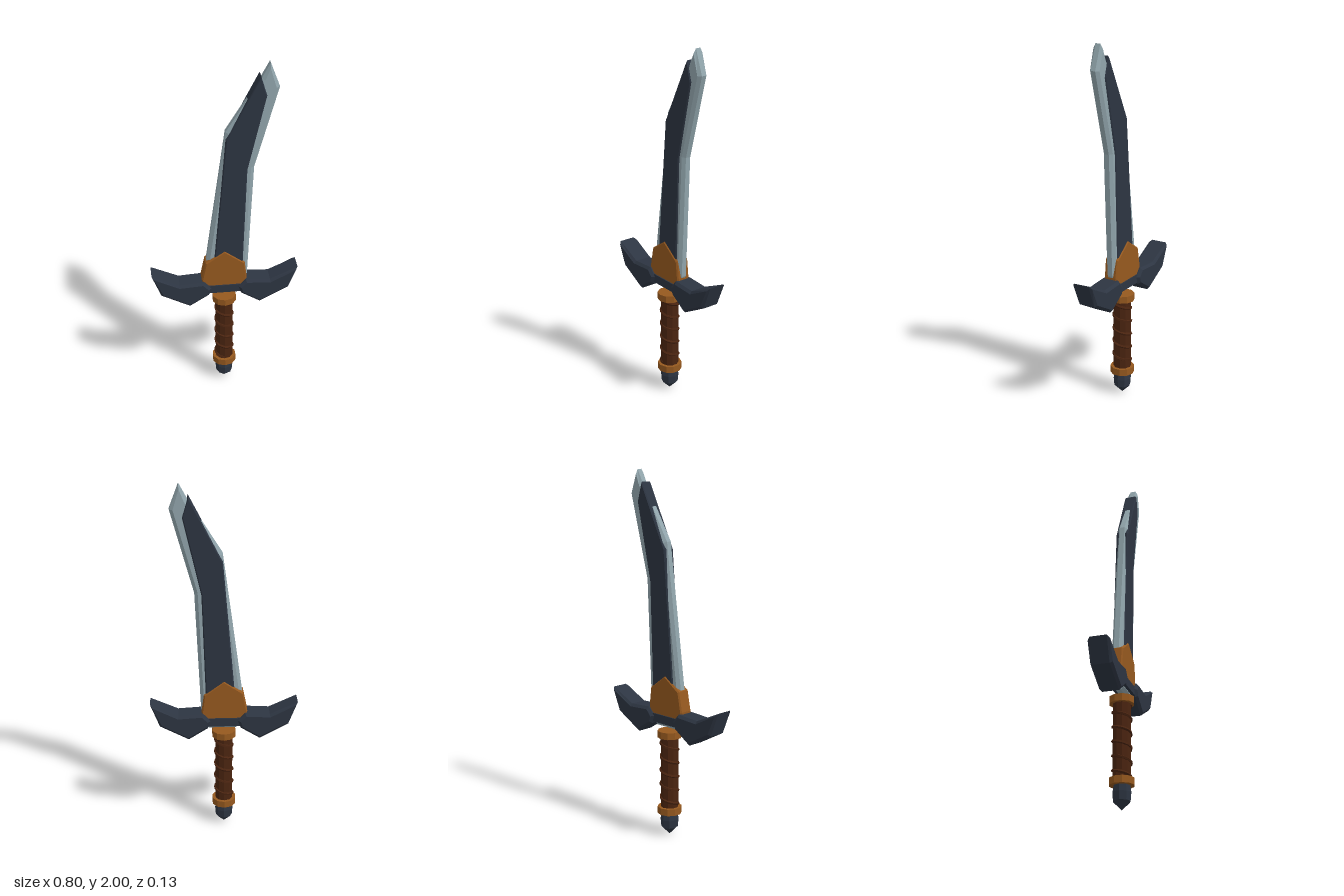
import * as THREE from 'three';

const material = (name, color) => {
  const m = new THREE.MeshStandardMaterial({ color, flatShading: true });
  m.name = name;
  return m;
};

export function createModel() {
  const steel = material('steel', 0x92a6ad);
  const dark = material('dark iron', 0x2d3542);
  const bronze = material('bronze', 0x96591f);
  const leather = material('leather', 0x4a2410);
  const model = new THREE.Group();
  model.name = 'sword';

  const add = (name, geometry, mat) => {
    const mesh = new THREE.Mesh(geometry, mat);
    mesh.name = name;
    model.add(mesh);
    return mesh;
  };

  // Outline extruded evenly to both sides of z = 0, with a chamfer inside the outline
  const slab = (points, half, inset, drop) => {
    const shape = new THREE.Shape(points.map(([x, y]) => new THREE.Vector2(x, y)));
    const g = new THREE.ExtrudeGeometry(shape, {
      depth: 2 * (half - drop), bevelEnabled: true, bevelSegments: 1,
      bevelSize: inset, bevelThickness: drop, bevelOffset: -inset,
    });
    return g.translate(0, 0, -(half - drop));
  };

  // Blade: bright cutting edge with a thicker dark core
  add('bladeEdge', slab([
    [-0.07, 0.62], [0.085, 0.62], [0.125, 0.74], [0.155, 1.42], [0.277, 1.87],
    [0.228, 2.0], [0.185, 1.92], [0.005, 1.63], [-0.1, 0.84], [-0.1, 0.72],
  ], 0.028, 0.018, 0.014), steel);
  add('bladeCore', slab([
    [-0.07, 0.7], [0.095, 0.7], [0.118, 1.41], [0.212, 1.83], [0.18, 1.935], [0.005, 1.59],
  ], 0.034, 0.006, 0.006), dark);

  // Bronze collar at the blade root
  add('collar', slab([
    [-0.122, 0.67], [0.122, 0.67], [0.122, 0.73], [0.11, 0.83], [0, 0.912],
    [-0.105, 0.84], [-0.127, 0.73],
  ], 0.039, 0.007, 0.007), bronze);

  // Guard: centre bar and two mirrored wings
  const bar = new THREE.BoxGeometry(0.18, 0.048, 0.09).translate(0, 0.666, 0);
  add('guardBar', bar, dark);
  const wing = [[0.402, 0.782], [0.25, 0.712], [0.115, 0.72], [0.075, 0.675],
    [0.09, 0.632], [0.195, 0.565], [0.352, 0.65]];
  for (const [name, side] of [['guardWingLeft', 1], ['guardWingRight', -1]]) {
    const points = wing.map(([x, y]) => [x * side, y]);
    add(name, slab(points, 0.059, 0.014, 0.014), dark);
  }

  // Grip with a spiral wrap
  add('grip', new THREE.CylinderGeometry(0.049, 0.049, 0.42, 10).translate(0, 0.365, 0), leather);
  const turns = 5, steps = turns * 10, helix = [];
  for (let i = 0; i <= steps; i++) {
    const a = (i / steps) * turns * Math.PI * 2;
    helix.push(new THREE.Vector3(0.047 * Math.sin(a), 0.56 - 0.39 * i / steps, 0.047 * Math.cos(a)));
  }
  add('gripWrap', new THREE.TubeGeometry(new THREE.CatmullRomCurve3(helix), 100, 0.009, 5), leather);

  // Bronze rings at both ends of the grip
  for (const [name, y] of [['upperRing', 0.582], ['lowerRing', 0.145]]) {
    add(name, new THREE.CylinderGeometry(0.067, 0.067, 0.038, 10).translate(0, y, 0), bronze);
  }

  // Faceted pommel
  const profile = [[0, 0], [0.046, 0.045], [0.05, 0.09], [0.044, 0.135], [0, 0.135]];
  add('pommel', new THREE.LatheGeometry(profile.map(([x, y]) => new THREE.Vector2(x, y)), 8), dark);

  return model;
}
